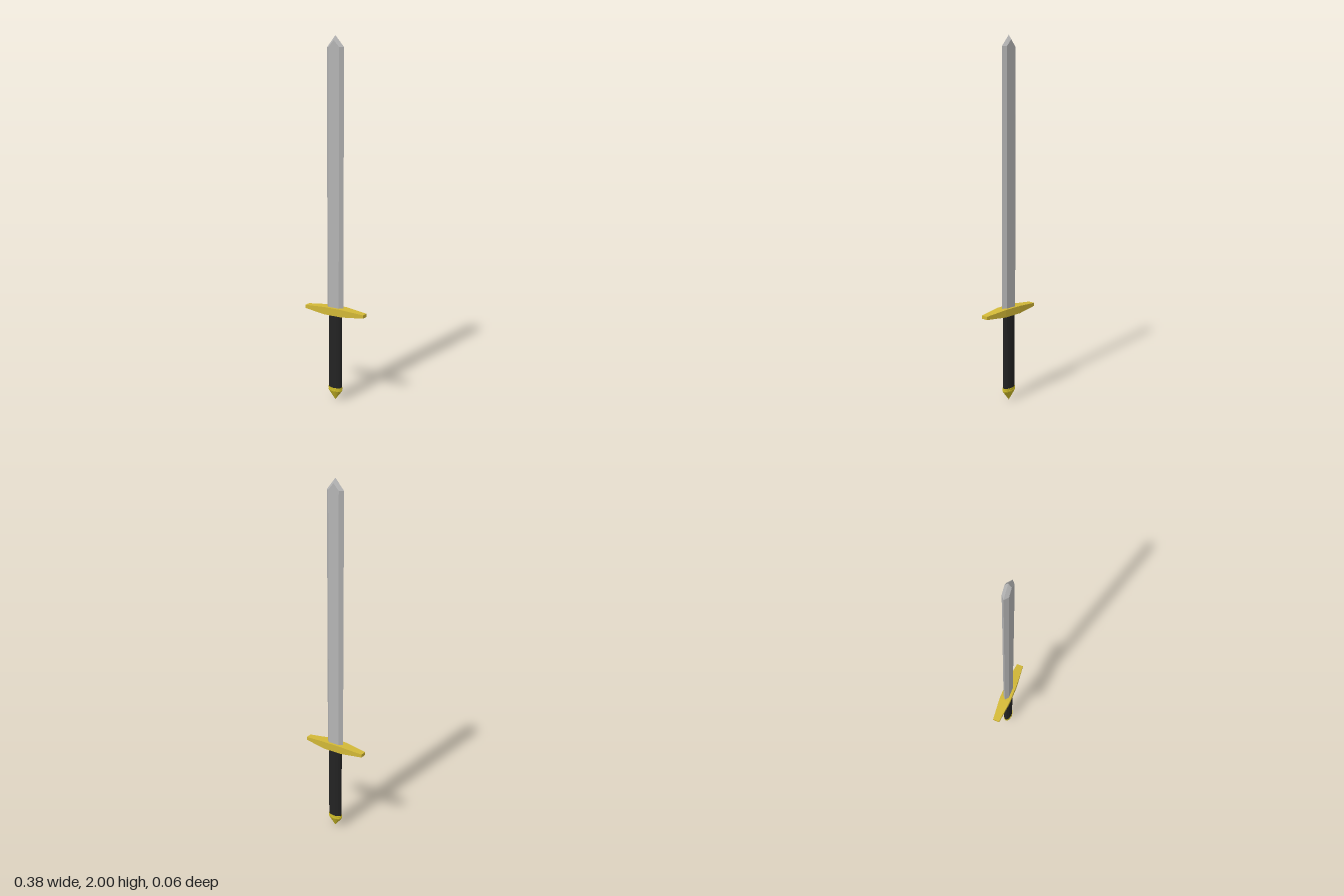
import * as THREE from 'three';

const mat = (name, color) => {
  const m = new THREE.MeshStandardMaterial({ color });
  m.name = name;
  return m;
};

// Skin a list of equal-length rings with flat faces and fan caps
function loft(rings) {
  const pos = [];
  const tri = (a, b, c) => pos.push(...a, ...b, ...c);
  const n = rings[0].length;
  for (let r = 0; r < rings.length - 1; r++) {
    const a = rings[r], b = rings[r + 1];
    for (let i = 0; i < n; i++) {
      const j = (i + 1) % n;
      tri(a[i], a[j], b[j]);
      if (b[i] !== b[j]) tri(a[i], b[j], b[i]);
    }
  }
  const first = rings[0], last = rings[rings.length - 1];
  for (let i = 1; i < n - 1; i++) {
    tri(first[0], first[i + 1], first[i]);
    if (last[0] !== last[i]) tri(last[0], last[i], last[i + 1]);
  }
  const g = new THREE.BufferGeometry();
  g.setAttribute('position', new THREE.Float32BufferAttribute(pos, 3));
  g.computeVertexNormals();
  return g;
}

export function createModel() {
  const steel = mat('steel', 0xb4b4b4);
  const gold = mat('gold', 0xd2b837);
  const brass = mat('brass', 0xcdbb28);
  const leather = mat('black leather', 0x232323);
  const model = new THREE.Group();
  model.name = 'sword';
  const add = (name, geometry, material) => {
    const mesh = new THREE.Mesh(geometry, material);
    mesh.name = name;
    model.add(mesh);
    return mesh;
  };

  // Blade: six-sided section, bevelled up to a pointed tip
  const w = 0.052, f = 0.032, t = 0.017;
  const section = [[-w, 0], [-f, t], [0, t], [f, t], [w, 0], [f, -t], [0, -t], [-f, -t]];
  const base = section.map(([x, z]) => [x, 0.52, z]);
  const shoulder = section.map(([x, z]) => [x, x === 0 ? 1.975 : 1.94, z]);
  const apex = [0, 2, 0];
  add('blade', loft([base, shoulder, section.map(() => apex)]), steel);

  // Crossguard: tapers towards both ends
  const guardY = 0.519;
  const guardRings = [[-0.188, 0.009, 0.019], [-0.056, 0.021, 0.032], [0.056, 0.021, 0.032], [0.188, 0.009, 0.019]]
    .map(([x, h, d]) => [[x, guardY - h, d], [x, guardY - h, -d], [x, guardY + h, -d], [x, guardY + h, d]]);
  add('crossguard', loft(guardRings), gold);

  // Oval turned parts of the handle
  const oval = (name, top, bottom, y0, y1, depth, material, sides = 16) => {
    const g = new THREE.CylinderGeometry(top, bottom, y1 - y0, sides).scale(1, 1, depth).toNonIndexed();
    g.computeVertexNormals();
    return add(name, g.translate(0, (y0 + y1) / 2, 0), material);
  };
  oval('grip', 0.041, 0.041, 0.074, 0.5, 0.56, leather);
  oval('pommelCollar', 0.043, 0.043, 0.066, 0.075, 0.58, brass);
  oval('pommelNeck', 0.039, 0.039, 0.06, 0.067, 0.58, brass);
  oval('pommelRim', 0.043, 0.043, 0.055, 0.062, 0.58, brass);
  oval('pommelPoint', 0.043, 0.0005, 0, 0.055, 0.58, brass);

  return model;
}
